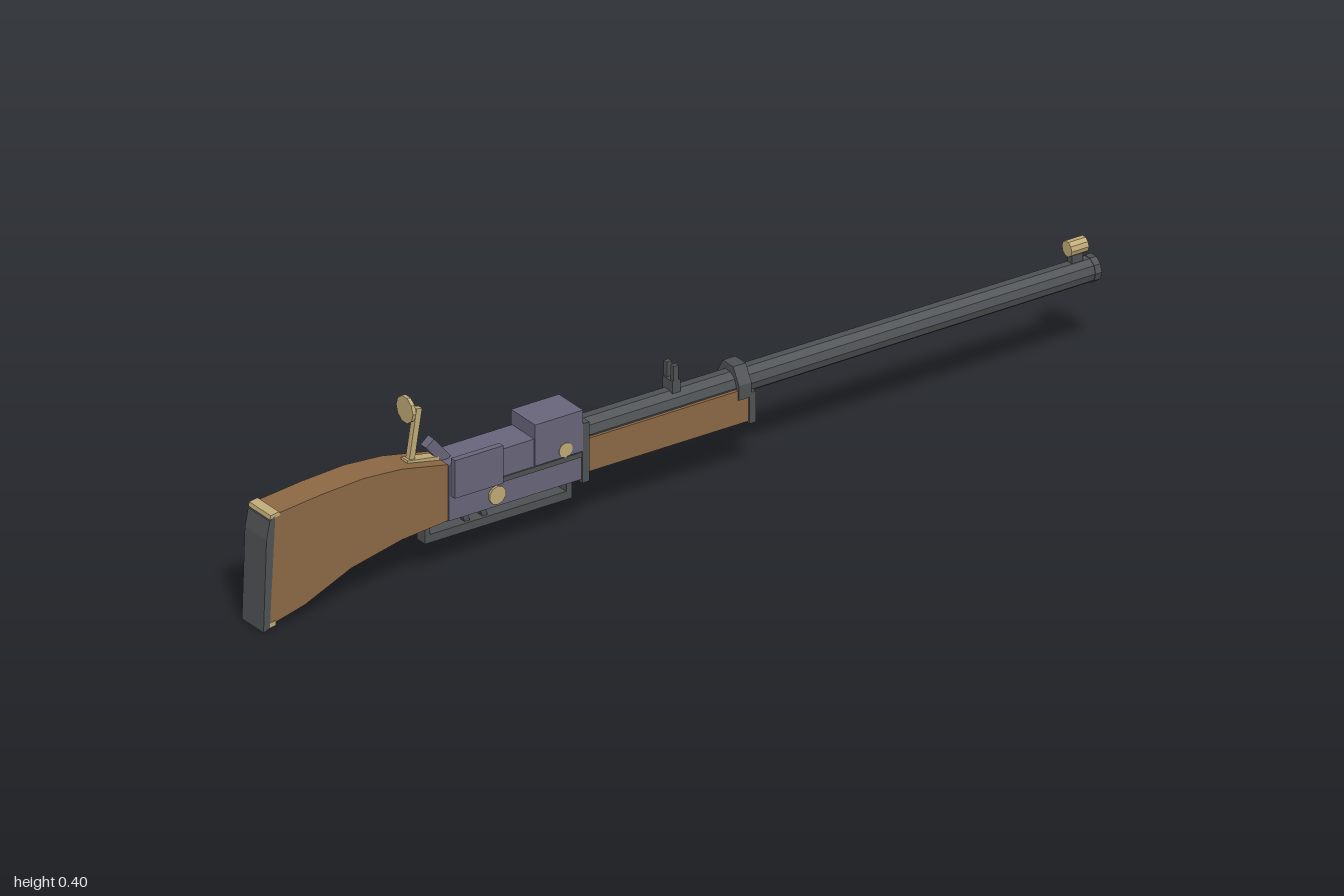
import * as THREE from 'three';

const mat = (color) => new THREE.MeshStandardMaterial({ color, flatShading: true });

export function createModel() {
  const root = new THREE.Group();
  const wood = mat(0x8c6844), steel = mat(0x4f5254), action = mat(0x68647a), brass = mat(0xc0ab78);
  const ZC = -0.004; // centre plane of the long axis

  function add(name, geo, material, x = 0, y = 0, z = 0) {
    const m = new THREE.Mesh(geo, material);
    m.name = name;
    m.position.set(x, y, z);
    root.add(m);
    return m;
  }
  // box given by its x and y limits and its width across z
  const block = (name, x0, x1, y0, y1, w, material, z = ZC) =>
    add(name, new THREE.BoxGeometry(x1 - x0, y1 - y0, w), material, (x0 + x1) / 2, (y0 + y1) / 2, z);
  // side outline extruded across z
  function slab(name, pts, w, material) {
    const shape = new THREE.Shape(pts.map(([x, y]) => new THREE.Vector2(x, y)));
    const geo = new THREE.ExtrudeGeometry(shape, { depth: w, bevelEnabled: false });
    return add(name, geo, material, 0, 0, ZC - w / 2);
  }
  // cylinder lying along x
  function rod(name, x0, x1, y, r0, r1, sides, material) {
    const geo = new THREE.CylinderGeometry(r1, r0, x1 - x0, sides).rotateZ(-Math.PI / 2);
    return add(name, geo, material, (x0 + x1) / 2, y, ZC);
  }
  // slanted bar between two points in the side plane
  function bar(name, a, b, t, w, material) {
    const dx = b[0] - a[0], dy = b[1] - a[1];
    const m = add(name, new THREE.BoxGeometry(t, Math.hypot(dx, dy), w), material,
      (a[0] + b[0]) / 2, (a[1] + b[1]) / 2, ZC);
    m.rotation.z = Math.atan2(-dx, dy);
  }

  // Stock with butt plate and brass heel and toe
  slab('stock', [[-0.56, 0.117], [-0.56, 0.24], [-0.67, 0.262], [-0.76, 0.268], [-0.86, 0.262],
    [-0.975, 0.25], [-0.985, 0.01], [-0.9, 0.032], [-0.79, 0.08], [-0.67, 0.107]], 0.07, wood);
  slab('buttPlate', [[-0.972, 0.25], [-0.985, 0.24], [-0.993, 0.2], [-1, 0.0], [-0.985, 0.005]], 0.074, steel);
  slab('buttHeel', [[-0.985, 0.243], [-0.96, 0.247], [-0.963, 0.255], [-0.983, 0.252]], 0.074, brass);
  slab('buttToe', [[-0.995, 0.004], [-0.97, 0.008], [-0.97, 0.018], [-0.993, 0.016]], 0.074, brass);

  // Receiver
  block('receiver', -0.56, -0.243, 0.117, 0.238, 0.076, action);
  block('receiverTop', -0.357, -0.243, 0.18, 0.27, 0.083, action);
  block('sidePlate', -0.555, -0.44, 0.171, 0.254, 0.014, action, 0.041);
  block('receiverRing', -0.245, -0.228, 0.11, 0.24, 0.083, steel);
  for (const s of [1, -1]) {
    block('sideRail', -0.44, -0.245, 0.167, 0.178, 0.004, steel, ZC + s * 0.039);
    for (const [x, y, r] of [[-0.447, 0.143, 0.02], [-0.285, 0.195, 0.016]]) {
      const pin = new THREE.CylinderGeometry(r, r, 0.008, 10).rotateX(Math.PI / 2);
      add('pin', pin, brass, x, y, ZC + s * 0.039);
    }
  }
  bar('hammer', [-0.545, 0.235], [-0.585, 0.283], 0.024, 0.02, action);

  // Lever loop and triggers
  block('leverBottom', -0.6, -0.25, 0.068, 0.086, 0.028, steel);
  block('leverRear', -0.6, -0.588, 0.086, 0.12, 0.028, steel);
  block('leverTop', -0.6, -0.55, 0.112, 0.122, 0.028, steel);
  block('leverFront', -0.264, -0.25, 0.086, 0.12, 0.028, steel);
  for (const x of [-0.5, -0.458]) bar('trigger', [x - 0.006, 0.12], [x + 0.006, 0.084], 0.012, 0.014, steel);

  // Barrel, fore-end and band
  rod('barrel', -0.25, 1, 0.204, 0.03, 0.027, 10, steel);
  rod('muzzle', 0.985, 1, 0.204, 0.0285, 0.0285, 10, steel);
  block('foreEnd', -0.228, 0.16, 0.127, 0.2, 0.07, wood);
  block('foreEndCap', 0.155, 0.17, 0.122, 0.19, 0.076, steel);
  const band = new THREE.Shape([[-0.038, 0.18], [0.038, 0.18], [0.038, 0.212], [0.018, 0.246],
    [-0.018, 0.246], [-0.038, 0.212]].map(([z, y]) => new THREE.Vector2(z, y)));
  const bandGeo = new THREE.ExtrudeGeometry(band, { depth: 0.03, bevelEnabled: false }).rotateY(Math.PI / 2);
  add('barrelBand', bandGeo, steel, 0.13, 0, ZC);

  // Rear sight with two prongs
  block('rearSightBase', -0.014, 0.006, 0.228, 0.255, 0.034, steel);
  for (const s of [1, -1]) block('rearSightProng', -0.011, 0.001, 0.25, 0.287, 0.011, steel, ZC + s * 0.0115);

  // Front sight
  block('frontSightBase', 0.943, 0.97, 0.225, 0.25, 0.014, steel);
  rod('frontSightBead', 0.936, 0.977, 0.262, 0.017, 0.017, 10, brass);

  // Folding peep sight
  bar('peepBase', [-0.64, 0.255], [-0.565, 0.243], 0.012, 0.022, brass);
  bar('peepPost', [-0.627, 0.25], [-0.608, 0.365], 0.013, 0.013, brass);
  rod('peepDisc', -0.639, -0.631, 0.369, 0.029, 0.029, 10, brass);

  return root;
}
